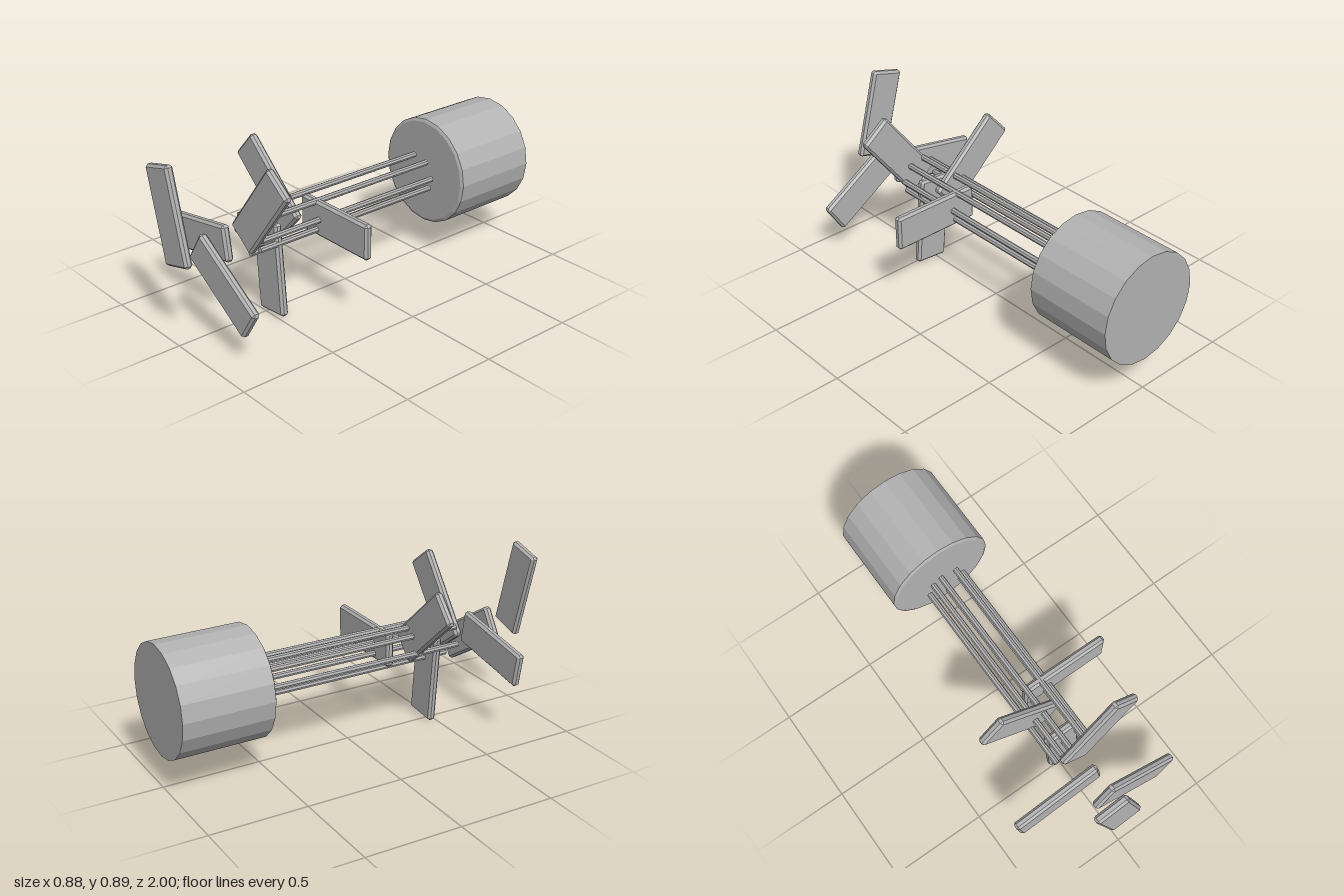
import * as THREE from 'three';
import { ConvexGeometry } from 'three/addons/geometries/ConvexGeometry.js';

const AXIS_Y = 0.443;
const GOLDEN = THREE.MathUtils.degToRad(137.5);

// Box with every edge cut by a flat chamfer
function chamferedBox(w, h, d, b) {
  const [x, y, z] = [w / 2, h / 2, d / 2];
  const points = [];
  for (const i of [-1, 1]) for (const j of [-1, 1]) for (const k of [-1, 1]) {
    points.push(
      new THREE.Vector3(i * x, j * (y - b), k * (z - b)),
      new THREE.Vector3(i * (x - b), j * y, k * (z - b)),
      new THREE.Vector3(i * (x - b), j * (y - b), k * z));
  }
  return new ConvexGeometry(points);
}

export function createModel() {
  const model = new THREE.Group();
  const grey = new THREE.MeshStandardMaterial({ color: 0xb2b2b2, flatShading: true });
  grey.name = 'grey';

  const add = (name, geometry, x, y, z) => {
    const mesh = new THREE.Mesh(geometry, grey);
    mesh.name = name;
    mesh.position.set(x, y, z);
    model.add(mesh);
    return mesh;
  };

  // Drum at the back, with a chamfered front rim
  const profile = [[0, -1], [0.28, -1], [0.28, -0.538], [0.265, -0.53], [0, -0.53]]
    .map(([r, z]) => new THREE.Vector2(r, z));
  add('drum', new THREE.LatheGeometry(profile, 20).rotateX(Math.PI / 2), 0, AXIS_Y + 0.002, 0);

  // Seven rods and seven blades, each turned on by the golden angle
  const rod = new THREE.CylinderGeometry(0.0155, 0.0155, 1.075, 8).rotateX(Math.PI / 2);
  const blade = chamferedBox(0.476, 0.18, 0.042, 0.012);
  for (let i = 0; i < 7; i++) {
    const a = i * GOLDEN;
    const c = Math.cos(a), s = Math.sin(a);
    add('rod' + (i + 1), rod, 0.1 * c, AXIS_Y + 0.1 * s, 0.05);
    add('blade' + (i + 1), blade, 0.2 * c, AXIS_Y + 0.2 * s, 0.227 + i * 0.1253).rotation.z = a;
  }
  return model;
}
